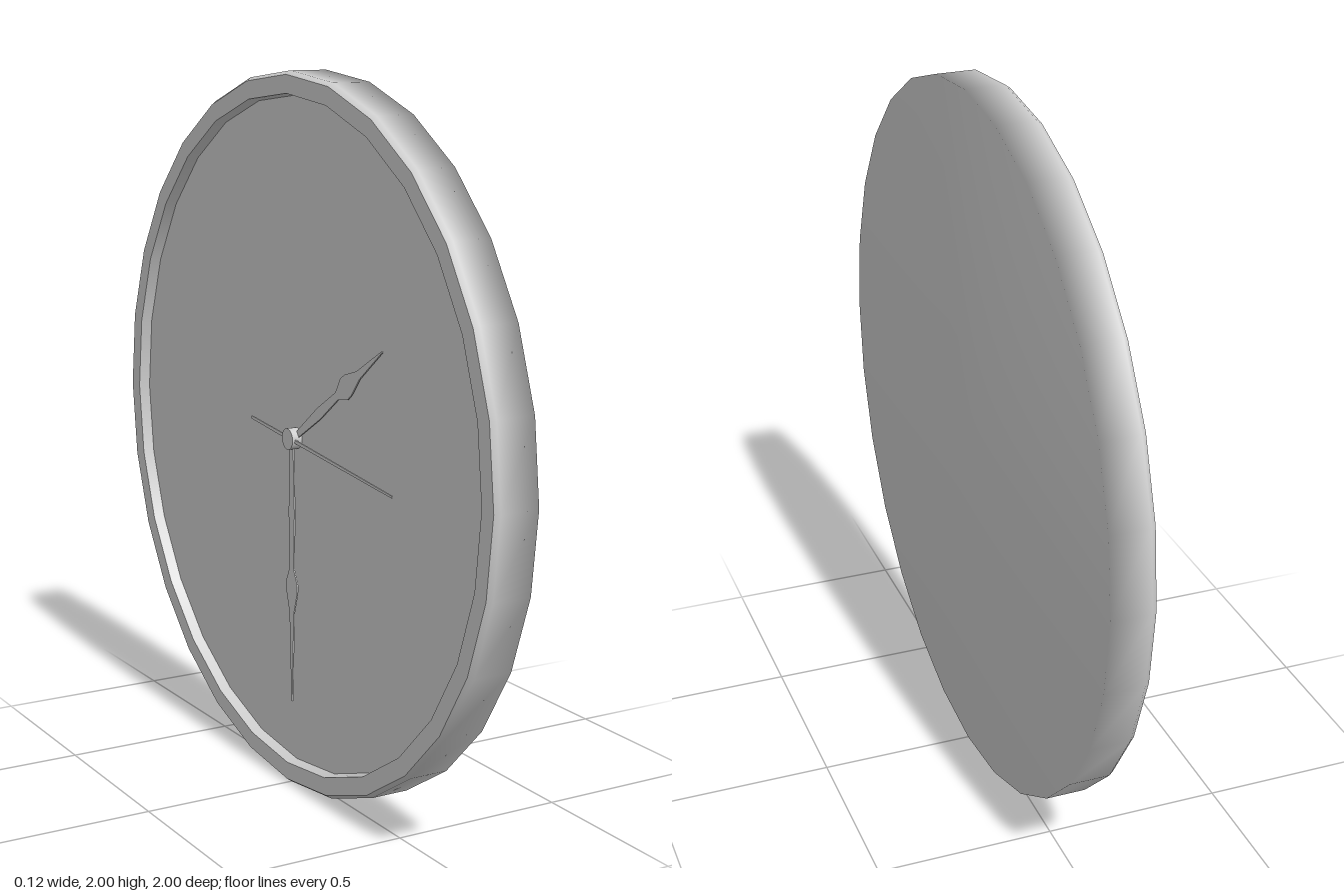
import * as THREE from 'three';

const SIDES = 28;
const FACE_DEPTH = 0.03;

export function createModel() {
  const model = new THREE.Group();
  const material = new THREE.MeshStandardMaterial({ color: 0xcccccc });

  // The clock is built facing +z, then turned so its dial looks along -x
  const clock = new THREE.Group();
  clock.name = 'wallClock';
  clock.rotation.y = -Math.PI / 2;
  clock.position.y = 1;
  model.add(clock);

  const add = (name, geometry) => {
    const mesh = new THREE.Mesh(geometry, material);
    mesh.name = name;
    clock.add(mesh);
    return mesh;
  };
  const lathe = (points, sides) =>
    new THREE.LatheGeometry(points.map(([r, z]) => new THREE.Vector2(r, z)), sides).rotateX(Math.PI / 2);

  // Case: flat back blending softly into the side, chamfered front edge
  add('case', lathe([[0, -0.062], [1, -0.062], [1, 0.048], [0.99, 0.062]], SIDES));
  add('bezel', lathe([[0.99, 0.062], [0.94, 0.062]], SIDES));
  add('bezelInnerWall', lathe([[0.94, 0.062], [0.935, FACE_DEPTH]], SIDES));
  add('dial', new THREE.CircleGeometry(0.937, SIDES)).position.z = FACE_DEPTH;

  // Hands: mirrored outline of [half width, distance from the centre]
  const addHand = (name, outline, clockwiseDegrees, z) => {
    const right = outline.map(([w, d]) => new THREE.Vector2(w, d));
    const left = outline.map(([w, d]) => new THREE.Vector2(-w, d)).reverse();
    const geometry = new THREE.ExtrudeGeometry(new THREE.Shape([...right, ...left]), {
      depth: 0.004, bevelEnabled: false,
    });
    const hand = add(name, geometry);
    hand.position.z = z;
    hand.rotation.z = -THREE.MathUtils.degToRad(clockwiseDegrees);
  };
  const spade = (length, bulge) => [
    [0.008, 0], [0.016, bulge * 0.5], [0.011, bulge - 0.05], [0.032, bulge - 0.005],
    [0.03, bulge + 0.02], [0.012, bulge + 0.08], [0.002, length],
  ];
  addHand('hourHand', spade(0.55, 0.33), 56, 0.037);
  addHand('minuteHand', spade(0.76, 0.42), 180, 0.043);
  addHand('secondHand', [[0.004, -0.22], [0.005, 0], [0.003, 0.53]], 96, 0.049);

  // Centre pin holding the hands
  add('centrePin', new THREE.CylinderGeometry(0.03, 0.03, 0.03, 16).rotateX(Math.PI / 2))
    .position.z = FACE_DEPTH + 0.015;

  return model;
}
